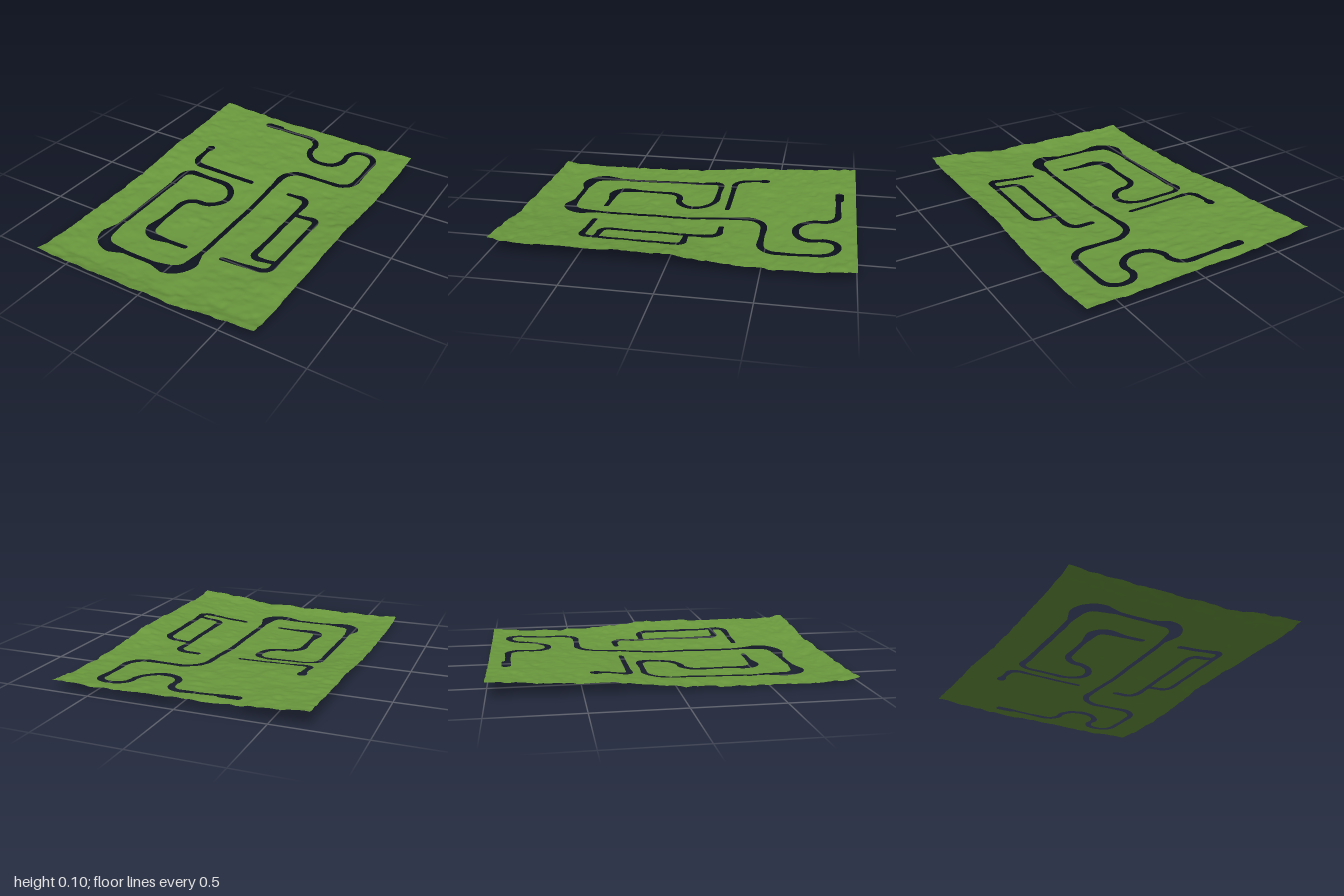
import * as THREE from 'three';

const HALF_X = 0.71, HALF_Z = 1, NX = 160, NZ = 224;
const ROAD = 0.0155, PAD = 0.026; // half widths of road slots and end pads

// Broad relief: heights on a coarse grid, rows run from back to front
const COLS = [-0.71, -0.4, -0.1, 0.2, 0.45, 0.71];
const ROWS = [-1, -0.7, -0.35, 0, 0.45, 0.9, 1];
const RELIEF = [
  [0.095, 0.075, 0.066, 0.062, 0.062, 0.062],
  [0.075, 0.068, 0.055, 0.042, 0.038, 0.038],
  [0.06, 0.054, 0.045, 0.036, 0.036, 0.046],
  [0.025, 0.008, 0.004, 0.02, 0.04, 0.078],
  [0.012, 0.003, 0.003, 0.022, 0.045, 0.078],
  [0.012, 0.005, 0.005, 0.024, 0.052, 0.076],
  [0.03, 0.03, 0.03, 0.032, 0.072, 0.097],
];

// Road corners: [x, z, bend radius, extra half width in the bend]
const MAIN_ROAD = [
  [-0.2, -0.894], [0.095, -0.894, 0.09], [0.095, -0.658, 0.115], [0.337, -0.658, 0.115],
  [0.337, -0.895, 0.085], [0.515, -0.895, 0.085], [0.515, -0.474, 0.1], [0.09, -0.474, 0.12],
  [0.09, 0.742, 0.1, 0.022], [-0.484, 0.742, 0.1, 0.022], [-0.484, -0.14, 0.07],
  [-0.096, -0.14, 0.118], [-0.096, 0.1, 0.118], [-0.305, 0.1, 0.09],
  [-0.305, 0.53, 0.075, 0.014], [-0.03, 0.53],
];
const WEST_ROAD = [[-0.486, -0.4], [-0.486, -0.229, 0.055], [-0.05, -0.229]];
const EAST_ROAD = [[0.22, -0.23], [0.358, -0.23, 0.06], [0.358, 0.442, 0.045], [0.51, 0.442]];
const EAST_LOOP = [[0.365, -0.049], [0.515, -0.049, 0.05], [0.515, 0.53, 0.05], [0.22, 0.53]];
const NORTH_PAD = [[-0.305, -0.9], [-0.22, -0.9]];
const WEST_PAD = [[-0.486, -0.425], [-0.486, -0.408]];

const smooth = (t) => t * t * (3 - 2 * t);
const mix = (a, b, t) => a + (b - a) * t;

function relief(x, z) {
  const cell = (list, v) => {
    let i = 0;
    while (i < list.length - 2 && v > list[i + 1]) i++;
    return [i, (v - list[i]) / (list[i + 1] - list[i])];
  };
  const [i, u] = cell(COLS, x), [j, v] = cell(ROWS, z);
  return mix(mix(RELIEF[j][i], RELIEF[j][i + 1], u), mix(RELIEF[j + 1][i], RELIEF[j + 1][i + 1], u), v);
}

// Repeatable lattice noise in -1..1
function hash(i, j) {
  let h = (Math.imul(i, 374761393) + Math.imul(j, 668265263)) | 0;
  h = Math.imul(h ^ (h >>> 13), 1274126177);
  return ((h ^ (h >>> 16)) >>> 0) / 2147483648 - 1;
}
function noise(x, z) {
  const i = Math.floor(x), j = Math.floor(z), u = smooth(x - i), v = smooth(z - j);
  return mix(mix(hash(i, j), hash(i + 1, j), u), mix(hash(i, j + 1), hash(i + 1, j + 1), u), v);
}

// Centreline with square turns rounded to arcs; y carries the half width
function centreline(corners, width) {
  const pts = [];
  corners.forEach(([x, z, r = 0, extra = 0.004], k) => {
    const corner = new THREE.Vector3(x, width, z);
    if (r === 0) {
      pts.push(corner);
      return;
    }
    const leg = (other) => {
      const dir = new THREE.Vector3(other[0] - x, 0, other[1] - z);
      const spare = dir.length() - r - (other[2] ?? 0);
      return { dir: dir.normalize(), taper: r + Math.min(0.09, Math.max(0, spare / 2)) };
    };
    const back = leg(corners[k - 1]), ahead = leg(corners[k + 1]);
    const centre = corner.clone().addScaledVector(back.dir, r).addScaledVector(ahead.dir, r);
    const radius = r + extra * 0.4;
    pts.push(corner.clone().addScaledVector(back.dir, back.taper));
    for (let s = 0; s <= 10; s++) {
      const t = (s / 10) * Math.PI / 2;
      const p = centre.clone().addScaledVector(ahead.dir, -radius * Math.cos(t))
        .addScaledVector(back.dir, -radius * Math.sin(t));
      p.y = width + extra;
      pts.push(p);
    }
    pts.push(corner.clone().addScaledVector(ahead.dir, ahead.taper));
  });
  return pts;
}

function roadSegments() {
  const lines = [MAIN_ROAD, WEST_ROAD, EAST_ROAD, EAST_LOOP].map((c) => centreline(c, ROAD));
  lines.push(centreline(NORTH_PAD, PAD), centreline(WEST_PAD, PAD));
  return lines.flatMap((pts) => pts.slice(1).map((p, i) => [pts[i], p]));
}

// Distance to the nearest slot edge, negative inside the slot
function slotDistance(segments, x, z) {
  let best = Infinity;
  for (const [a, b] of segments) {
    const dx = b.x - a.x, dz = b.z - a.z;
    let t = ((x - a.x) * dx + (z - a.z) * dz) / (dx * dx + dz * dz + 1e-12);
    t = Math.min(1, Math.max(0, t));
    best = Math.min(best, Math.hypot(x - a.x - dx * t, z - a.z - dz * t) - mix(a.y, b.y, t));
  }
  return best;
}

function terrainGeometry() {
  const segments = roadSegments();
  const positions = [], dist = [], index = [], cuts = new Map();

  // Height field, calmer next to the roads
  for (let j = 0; j <= NZ; j++) {
    for (let i = 0; i <= NX; i++) {
      const x = mix(-HALF_X, HALF_X, i / NX), z = mix(-HALF_Z, HALF_Z, j / NZ);
      const d = slotDistance(segments, x, z);
      const calm = mix(0.3, 1, smooth(Math.min(1, Math.max(0, d / 0.1))));
      const bumps = 0.006 * noise(x * 9, z * 11) + 0.0045 * noise(x * 20 + 40, z * 27)
        + 0.0015 * noise(x * 45, z * 50 + 70);
      positions.push(x, Math.min(0.1, Math.max(0, relief(x, z) + bumps * calm)), z);
      dist.push(d);
    }
  }

  // Shared vertex where a grid edge crosses a slot edge
  const cut = (a, b) => {
    const lo = Math.min(a, b), hi = Math.max(a, b), key = lo + '_' + hi;
    if (!cuts.has(key)) {
      const t = dist[lo] / (dist[lo] - dist[hi]);
      cuts.set(key, positions.length / 3);
      for (let k = 0; k < 3; k++) positions.push(mix(positions[lo * 3 + k], positions[hi * 3 + k], t));
    }
    return cuts.get(key);
  };

  // Keep only the part of each triangle outside the slots
  const addClipped = (tri) => {
    const poly = [];
    tri.forEach((a, k) => {
      const b = tri[(k + 1) % 3];
      if (dist[a] > 0) poly.push(a);
      if ((dist[a] > 0) !== (dist[b] > 0)) poly.push(cut(a, b));
    });
    for (let k = 2; k < poly.length; k++) index.push(poly[0], poly[k - 1], poly[k]);
  };
  for (let j = 0; j < NZ; j++) {
    for (let i = 0; i < NX; i++) {
      const a = j * (NX + 1) + i, b = a + NX + 1;
      addClipped([a, b, b + 1]);
      addClipped([a, b + 1, a + 1]);
    }
  }

  const geometry = new THREE.BufferGeometry();
  geometry.setAttribute('position', new THREE.Float32BufferAttribute(positions, 3));
  geometry.setIndex(index);
  geometry.computeVertexNormals();
  return geometry;
}

export function createModel() {
  const group = new THREE.Group();
  group.name = 'landscape';
  const grass = new THREE.MeshStandardMaterial({ color: 0x6a983d, side: THREE.DoubleSide });
  grass.name = 'grass green';
  const terrain = new THREE.Mesh(terrainGeometry(), grass);
  terrain.name = 'terrainWithRoadCutouts';
  group.add(terrain);
  return group;
}
